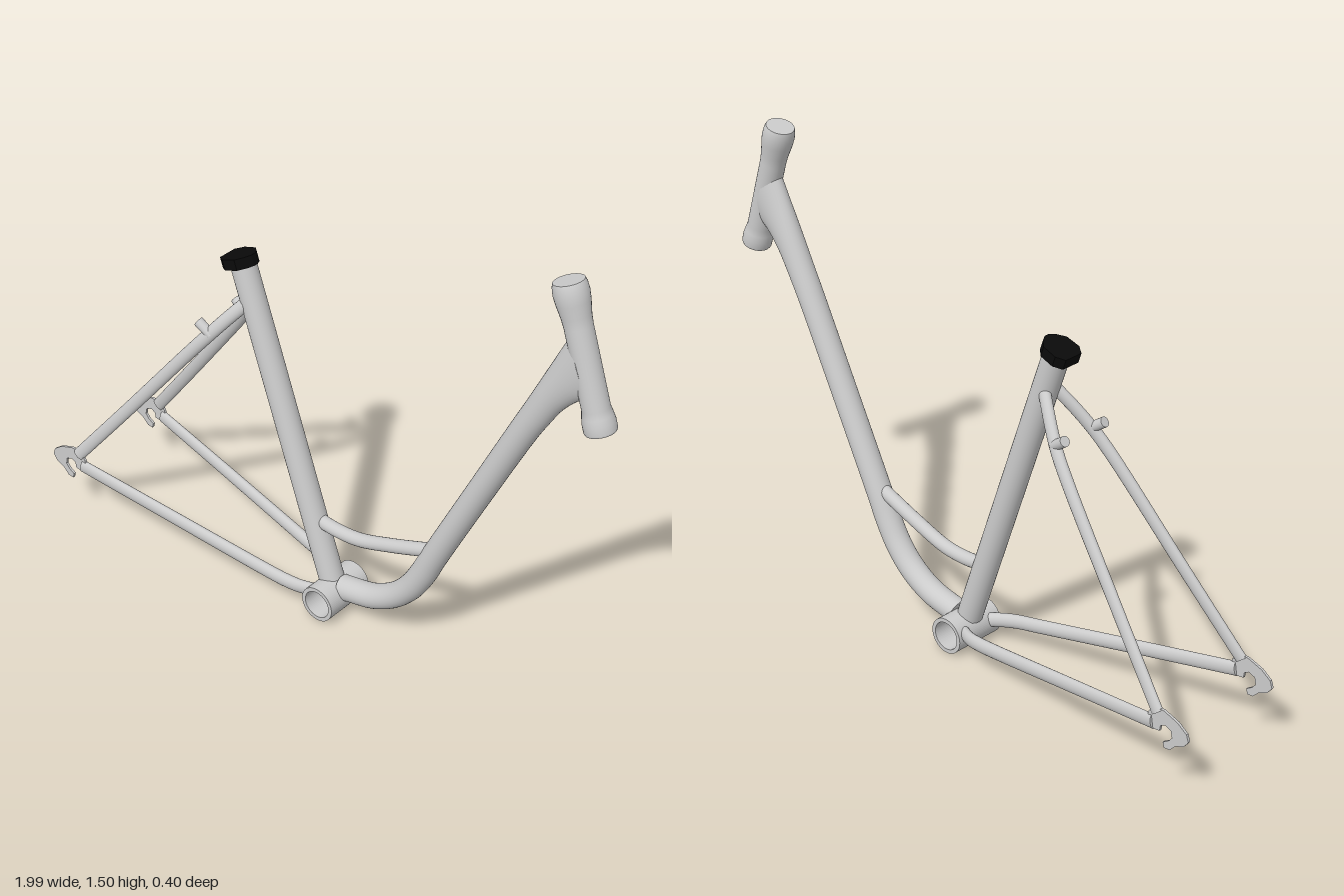
import * as THREE from 'three';

const V = (x, y, z = 0) => new THREE.Vector3(x, y, z);
const Z = V(0, 0, 1);
const grey = new THREE.MeshStandardMaterial({ color: 0xcccccc });
const black = new THREE.MeshStandardMaterial({ color: 0x0a0a0a });

// Skin over elliptical sections {c, u, v}: centre and two half-axes, capped at both ends
function loft(sections, sides = 24) {
  const pos = [], idx = [];
  const ring = ({ c, u, v }) => {
    for (let j = 0; j < sides; j++) {
      const a = (j / sides) * Math.PI * 2;
      const p = c.clone().addScaledVector(u, Math.cos(a)).addScaledVector(v, Math.sin(a));
      pos.push(p.x, p.y, p.z);
    }
  };
  sections.forEach(ring);
  for (let i = 0; i < sections.length - 1; i++) {
    for (let j = 0; j < sides; j++) {
      const k = (j + 1) % sides, a = i * sides + j, b = i * sides + k;
      idx.push(a, b, a + sides, b, b + sides, a + sides);
    }
  }
  for (const end of [0, 1]) {
    const s = sections[end ? sections.length - 1 : 0], base = pos.length / 3;
    ring(s);
    pos.push(s.c.x, s.c.y, s.c.z);
    for (let j = 0; j < sides; j++) {
      const a = base + j, b = base + (j + 1) % sides, m = base + sides;
      if (end) idx.push(m, a, b); else idx.push(m, b, a);
    }
  }
  const g = new THREE.BufferGeometry();
  g.setAttribute('position', new THREE.Float32BufferAttribute(pos, 3));
  g.setIndex(idx);
  g.computeVertexNormals();
  return g;
}

// Tube along a path with half-height h and half-width going from w0 to w1
function stayGeometry(points, h, w0, w1, steps = 36) {
  const curve = new THREE.CatmullRomCurve3(points, false, 'centripetal');
  const sections = [];
  for (let i = 0; i <= steps; i++) {
    const t = i / steps, d = curve.getPointAt(t), tan = curve.getTangentAt(t);
    sections.push({
      c: d,
      u: V(-tan.y, tan.x).setLength(h),
      v: Z.clone().multiplyScalar(THREE.MathUtils.lerp(w0, w1, t)),
    });
  }
  return loft(sections, 20);
}

function rod(a, b, r) {
  const g = new THREE.CylinderGeometry(r, r, a.distanceTo(b), 32);
  const d = b.clone().sub(a).normalize();
  g.applyQuaternion(new THREE.Quaternion().setFromUnitVectors(V(0, 1), d));
  const m = a.clone().add(b).multiplyScalar(0.5);
  return g.translate(m.x, m.y, m.z);
}

export function createModel() {
  const model = new THREE.Group();
  model.name = 'bicycleFrame';
  const add = (name, geometry, material = grey) => {
    const mesh = new THREE.Mesh(geometry, material);
    mesh.name = name;
    model.add(mesh);
    return mesh;
  };

  // Bottom bracket shell, an open ring along z
  const bracket = V(0.035, 0.059);
  const ringShape = new THREE.Shape().absarc(0, 0, 0.059, 0, Math.PI * 2);
  ringShape.holes.push(new THREE.Path().absarc(0, 0, 0.046, 0, Math.PI * 2, true));
  add('bottomBracketShell', new THREE.ExtrudeGeometry(ringShape, {
    depth: 0.18, bevelEnabled: false, curveSegments: 32,
  }).translate(bracket.x, bracket.y, -0.09));

  // Seat tube
  const seatTop = V(-0.325, 1.115);
  const seatDir = seatTop.clone().sub(bracket).normalize();
  add('seatTube', rod(bracket.clone().addScaledVector(seatDir, 0.049), seatTop, 0.04));

  // Seat clamp collar
  const half = [[-0.056, 0.032], [-0.03, 0.05], [0.018, 0.048], [0.04, 0.028], [0.052, 0.008]];
  const outline = [...half, ...half.map(([x, y]) => [x, -y]).reverse()];
  const clamp = add('seatClamp', new THREE.ExtrudeGeometry(
    new THREE.Shape(outline.map(([x, y]) => new THREE.Vector2(x, y))),
    { depth: 0.034, bevelEnabled: false },
  ).rotateX(-Math.PI / 2).translate(0, -0.016, 0), black);
  clamp.position.copy(seatTop);
  clamp.rotation.z = Math.atan2(-seatDir.x, seatDir.y);

  // Down tube: lofted between its upper and lower edges, flaring into the head tube
  const edges = [ // upper x, y, lower x, y
    [0.06, 0.13, 0.083, 0.05], [0.08, 0.133, 0.10, 0.056], [0.175, 0.155, 0.20, 0.08],
    [0.25, 0.20, 0.29, 0.13], [0.30, 0.255, 0.36, 0.20], [0.337, 0.318, 0.41, 0.28],
    [0.377, 0.40, 0.45, 0.365], [0.53, 0.706, 0.602, 0.67], [0.671, 0.989, 0.745, 0.95],
    [0.711, 1.068, 0.78, 1.01], [0.76, 1.168, 0.829, 1.086], [0.802, 1.255, 0.888, 1.144],
    [0.85, 1.353, 0.925, 1.16],
  ];
  const upper = new THREE.CatmullRomCurve3(edges.map((e) => V(e[0], e[1])), false, 'centripetal');
  const lower = new THREE.CatmullRomCurve3(edges.map((e) => V(e[2], e[3])), false, 'centripetal');
  const sections = [];
  for (let i = 0; i <= 72; i++) {
    const a = upper.getPoint(i / 72), b = lower.getPoint(i / 72);
    sections.push({
      c: a.clone().add(b).multiplyScalar(0.5),
      u: a.clone().sub(b).multiplyScalar(0.5),
      v: V(0, 0, 0.041),
    });
  }
  add('downTube', loft(sections, 32));

  // Head tube with flared bearing cups
  const headTop = V(0.818, 1.488), headBottom = V(0.952, 1.07);
  const length = headTop.distanceTo(headBottom);
  const cup = [[0.044, 0], [0.047, 0.006], [0.047, 0.03], [0.044, 0.05], [0.04, 0.07],
    [0.04, length - 0.13], [0.042, length - 0.1], [0.048, length - 0.06],
    [0.05, length - 0.035], [0.048, length - 0.012], [0.044, length]];
  const head = add('headTube', new THREE.LatheGeometry(cup.map(([r, y]) => new THREE.Vector2(r, y)), 32));
  head.position.copy(headBottom);
  head.rotation.z = Math.atan2(headBottom.x - headTop.x, headTop.y - headBottom.y) * -1;
  head.rotation.z = Math.atan2(headTop.y - headBottom.y, headTop.x - headBottom.x) - Math.PI / 2;
  for (const [y, r, tilt] of [[0, 0.044, Math.PI / 2], [length, 0.044, -Math.PI / 2]]) {
    const cap = new THREE.Mesh(new THREE.CircleGeometry(r, 32).rotateX(tilt).translate(0, y, 0), grey);
    cap.name = 'headTubeEnd';
    head.add(cap);
  }

  // Curved brace between seat tube and down tube
  add('brace', stayGeometry([V(-0.05, 0.31), V(0, 0.3), V(0.06, 0.297), V(0.13, 0.304),
    V(0.25, 0.342), V(0.4, 0.398)], 0.022, 0.022, 0.022));

  // Hooked dropout plate outline
  const hook = [[-0.91, 0.275], [-0.96, 0.258], [-0.992, 0.235], [-1.0, 0.212], [-0.985, 0.192],
    [-0.955, 0.178], [-0.935, 0.157], [-0.915, 0.155], [-0.91, 0.172], [-0.93, 0.185],
    [-0.942, 0.2], [-0.937, 0.222], [-0.915, 0.23], [-0.9, 0.222], [-0.897, 0.203],
    [-0.87, 0.2], [-0.85, 0.215], [-0.855, 0.25], [-0.875, 0.275]];
  const hookShape = new THREE.Shape(hook.map(([x, y]) => new THREE.Vector2(x, y)));

  // Rear stays, bosses and dropouts on both sides
  for (const s of [1, -1]) {
    const side = s > 0 ? 'left' : 'right';
    add(side + 'Chainstay', stayGeometry([V(-0.87, 0.22, s * 0.186), V(-0.5, 0.157, s * 0.14),
      V(-0.17, 0.1, s * 0.098), V(-0.1, 0.089, s * 0.088), V(-0.05, 0.08, s * 0.074),
      V(-0.012, 0.074, s * 0.055)], 0.023, 0.013, 0.019));
    add(side + 'Seatstay', stayGeometry([V(-0.885, 0.258, s * 0.186), V(-0.687, 0.5, s * 0.146),
      V(-0.461, 0.78, s * 0.1), V(-0.396, 0.86, s * 0.08), V(-0.34, 0.93, s * 0.05),
      V(-0.29, 0.99, s * 0.018)], 0.021, 0.012, 0.018));
    add(side + 'StayBoss', rod(V(-0.385, 0.865, s * 0.078), V(-0.432, 0.898, s * 0.084), 0.016));
    add(side + 'Dropout', new THREE.ExtrudeGeometry(hookShape, { depth: 0.008, bevelEnabled: false })
      .translate(0, 0, s * 0.186 - 0.004));
  }
  return model;
}
